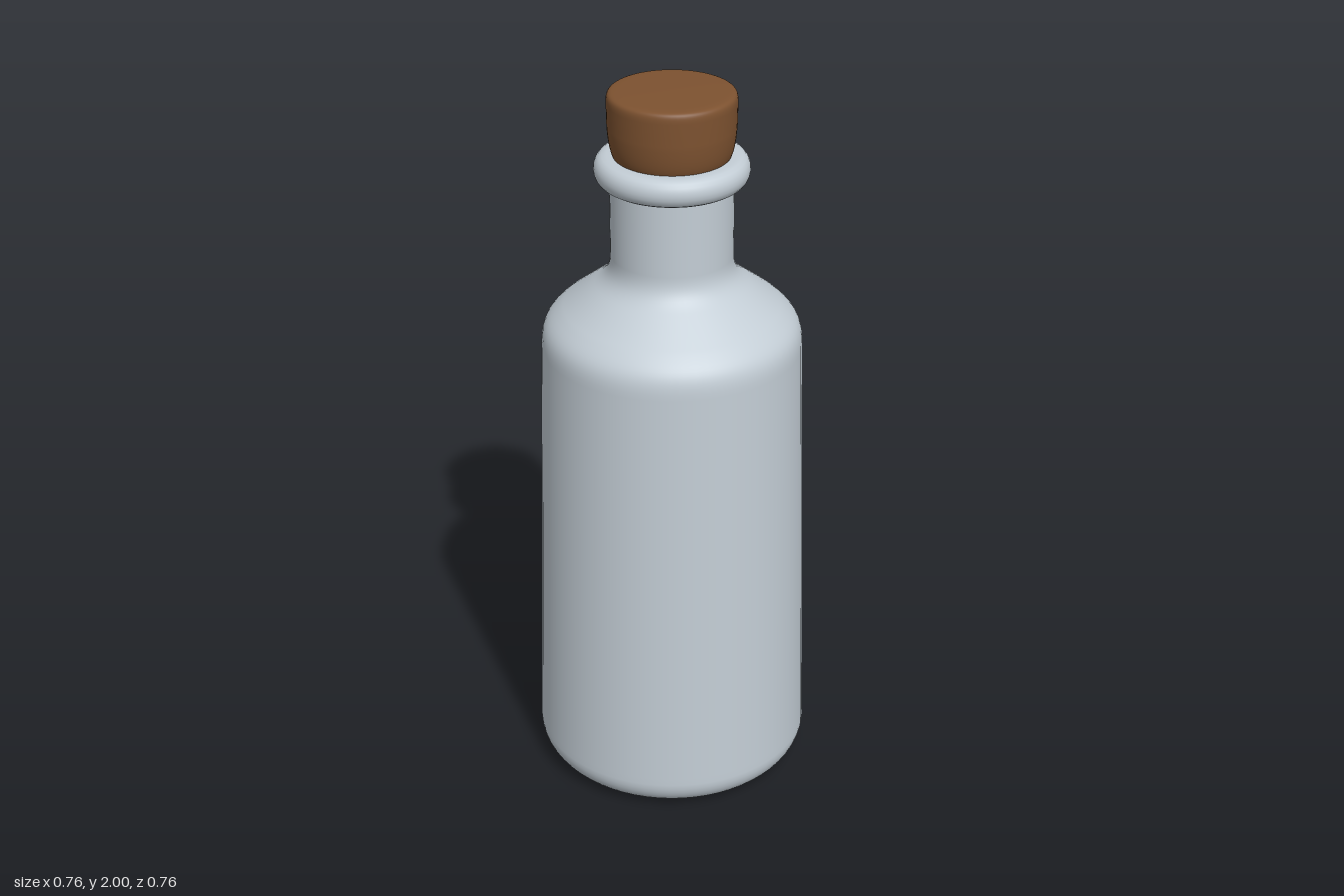
import * as THREE from 'three';

const SEGMENTS = 64;

// Revolve a bottom-to-top profile path around the y axis
function revolve(name, path, material) {
  const points = path.getPoints(10);
  points.forEach((p) => { p.x = Math.max(p.x, 0); });
  const mesh = new THREE.Mesh(new THREE.LatheGeometry(points, SEGMENTS), material);
  mesh.name = name;
  return mesh;
}

export function createModel() {
  const glass = new THREE.MeshStandardMaterial({ color: 0xc3cdd5 });
  glass.name = 'pale glass';
  const cork = new THREE.MeshStandardMaterial({ color: 0x7d5230 });
  cork.name = 'brown cork';

  const model = new THREE.Group();
  model.name = 'bottle';

  // Flat base, rounded foot, tapered wall, sloping shoulder and neck
  const body = new THREE.Path();
  body.moveTo(0, 0);
  body.lineTo(0.285, 0);
  body.lineTo(0.295, 0);
  body.bezierCurveTo(0.345, 0.002, 0.383, 0.04, 0.382, 0.09);
  body.lineTo(0.381, 0.11);
  body.lineTo(0.35, 1.29);
  body.bezierCurveTo(0.349, 1.35, 0.335, 1.365, 0.29, 1.403);
  body.lineTo(0.215, 1.46);
  body.bezierCurveTo(0.18, 1.485, 0.163, 1.505, 0.163, 1.55);
  body.lineTo(0.163, 1.77);
  model.add(revolve('bottleBody', body, glass));

  // Rounded lip ring, closed across the mouth beneath the stopper
  const lip = new THREE.Path();
  lip.moveTo(0.155, 1.752);
  lip.lineTo(0.17, 1.752);
  lip.bezierCurveTo(0.215, 1.752, 0.215, 1.828, 0.17, 1.828);
  lip.lineTo(0.155, 1.828);
  lip.lineTo(0, 1.828);
  model.add(revolve('lipRing', lip, glass));

  // Cork stopper, widening upwards with softened edges
  const stopper = new THREE.Path();
  stopper.moveTo(0, 1.815);
  stopper.lineTo(0.145, 1.815);
  stopper.bezierCurveTo(0.158, 1.825, 0.165, 1.86, 0.168, 1.91);
  stopper.lineTo(0.169, 1.97);
  stopper.bezierCurveTo(0.169, 1.99, 0.166, 1.997, 0.15, 1.998);
  stopper.lineTo(0.13, 2);
  stopper.lineTo(0, 2);
  model.add(revolve('corkStopper', stopper, cork));

  return model;
}
